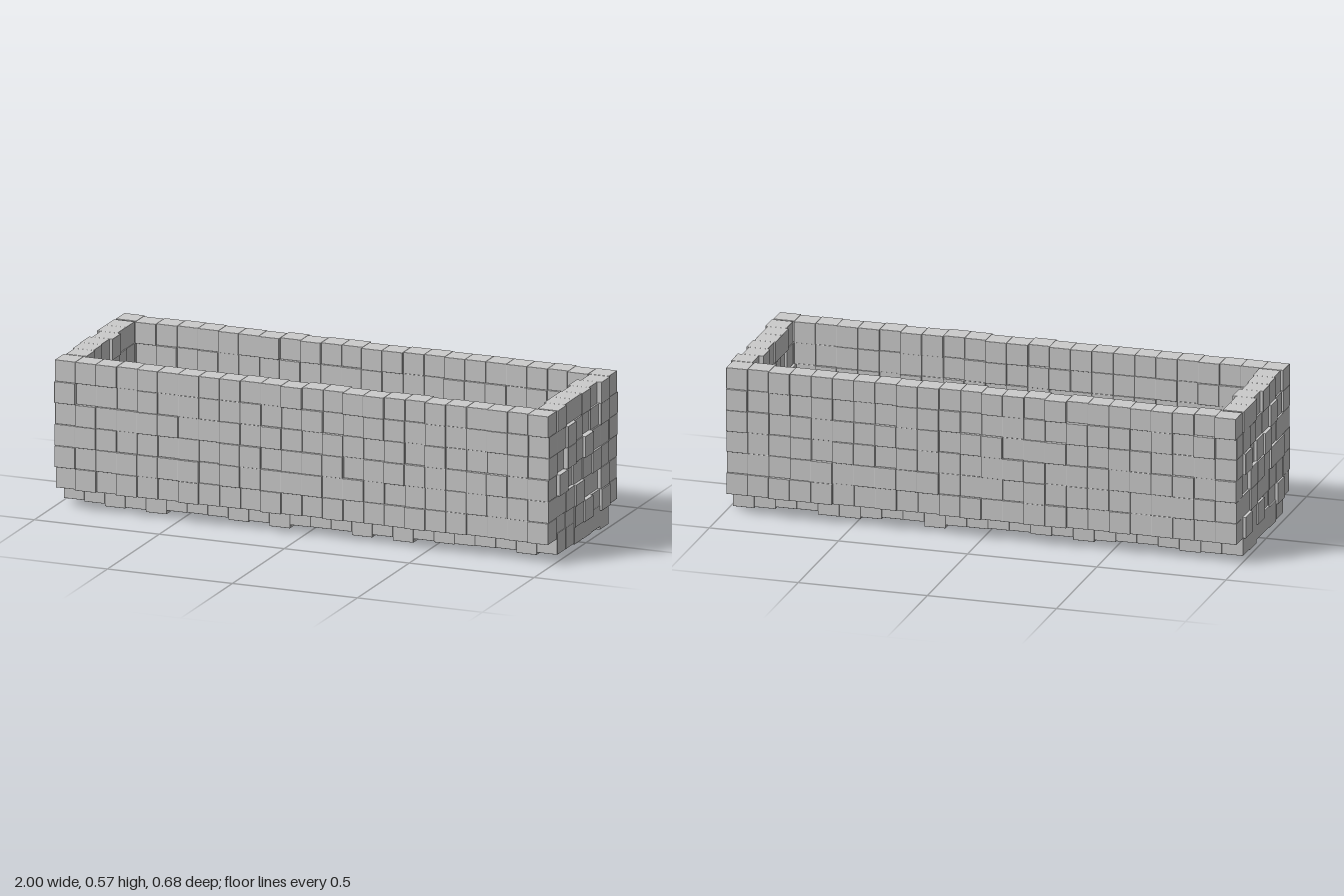
import * as THREE from 'three';
import { RoundedBoxGeometry } from 'three/addons/geometries/RoundedBoxGeometry.js';

const PITCH = 0.0823, COLS = 24, DEPTH = 8, ROWS = 6;
const WALL_BOTTOM = 0.08;

// Small seeded generator for the uneven laying of the blocks
function seeded(seed) {
  return () => {
    seed = (seed * 16807) % 2147483647;
    return seed / 2147483647;
  };
}

export function createModel() {
  const model = new THREE.Group();
  model.name = 'blockTrough';
  const rand = seeded(4271);
  const jitter = (amount) => (rand() * 2 - 1) * amount;
  const material = new THREE.MeshStandardMaterial({ color: 0xcccccc });
  const block = new RoundedBoxGeometry(PITCH, PITCH, PITCH, 1, 0.0015);

  const part = (name) => {
    const group = new THREE.Group();
    group.name = name;
    model.add(group);
    return group;
  };
  const place = (group, x, y, z) => {
    const mesh = new THREE.Mesh(block, material);
    mesh.name = 'block';
    mesh.position.set(x, y, z);
    group.add(mesh);
  };
  const along = (i, count) => (i - (count - 1) / 2) * PITCH;
  const rowY = (r) => WALL_BOTTOM + (r + 0.5) * PITCH;

  // Long walls, including the corners; blocks stick in and out along z
  for (const [name, side] of [['frontWall', 1], ['backWall', -1]]) {
    const wall = part(name);
    for (let r = 0; r < ROWS; r++)
      for (let c = 0; c < COLS; c++)
        place(wall, along(c, COLS), rowY(r), side * (along(DEPTH - 1, DEPTH) + 0.002) + jitter(0.008));
  }

  // End walls between the corners; blocks stick in and out along x
  for (const [name, side] of [['leftWall', 1], ['rightWall', -1]]) {
    const wall = part(name);
    for (let r = 0; r < ROWS; r++)
      for (let d = 1; d < DEPTH - 1; d++)
        place(wall, side * along(COLS - 1, COLS) + jitter(0.011), rowY(r), along(d, DEPTH));
  }

  // Floor, narrower than the walls, with uneven heights
  const floor = part('floor');
  for (let c = 0; c < COLS; c++)
    for (let d = 1; d < DEPTH - 1; d++)
      place(floor, along(c, COLS), PITCH / 2 + 0.019 - 0.018 * rand() ** 2, along(d, DEPTH));

  return model;
}
